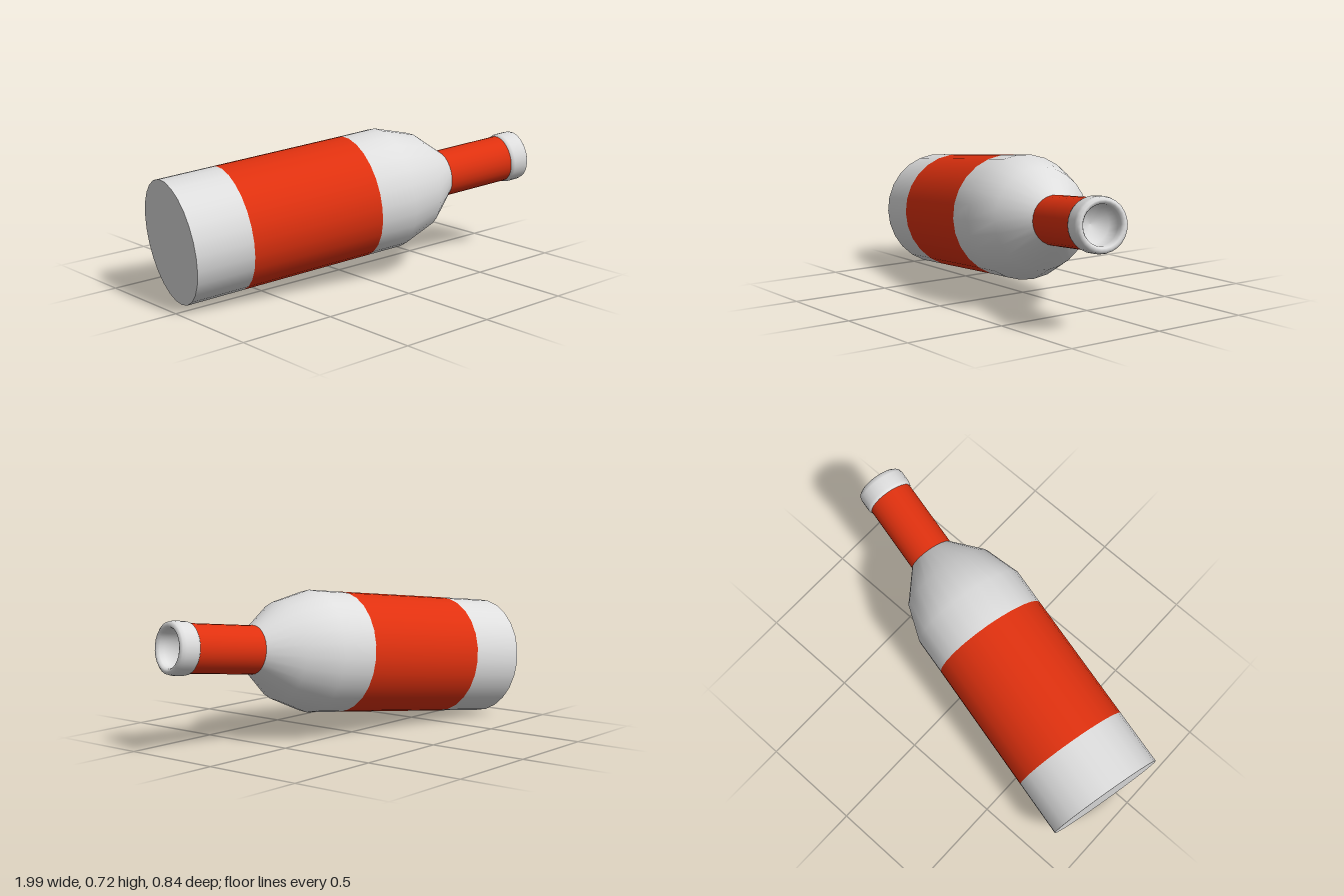
import * as THREE from 'three';

const SEGMENTS = 26;

export function createModel() {
  const white = new THREE.MeshStandardMaterial({ color: 0xdedede });
  white.name = 'white glaze';
  const red = new THREE.MeshStandardMaterial({ color: 0xe0310f });
  red.name = 'red paint';

  // The bottle is turned upright, then laid along its tilted axis
  const bottle = new THREE.Group();
  bottle.name = 'bottle';
  const base = new THREE.Vector3(-0.93, 0.3, -0.126);
  const mouth = new THREE.Vector3(0.966, 0.505, 0.3);
  const axis = mouth.clone().sub(base).normalize();
  bottle.position.copy(base);
  bottle.quaternion.setFromUnitVectors(new THREE.Vector3(0, 1, 0), axis);

  // Each profile is a list of [radius, distance along the axis]
  const turn = (name, material, profile) => {
    const points = profile.map(([r, y]) => new THREE.Vector2(r, y));
    const mesh = new THREE.Mesh(new THREE.LatheGeometry(points, SEGMENTS), material);
    mesh.name = name;
    bottle.add(mesh);
  };

  // Body
  turn('baseDisc', white, [[0, 0], [0.3, 0]]);
  turn('lowerBody', white, [[0.3, 0], [0.3, 0.287]]);
  turn('bodyBand', red, [[0.3, 0.287], [0.3, 0.965]]);
  turn('shoulder', white, [[0.3, 0.965], [0.301, 1.153], [0.241, 1.334], [0.117, 1.483]]);

  // Neck
  turn('neck', red, [[0.117, 1.483], [0.117, 1.848]]);

  // Rounded lip with the hollow mouth
  turn('lip', white, [
    [0.115, 1.845], [0.123, 1.852], [0.126, 1.865], [0.126, 1.925], [0.122, 1.943],
    [0.11, 1.952], [0.099, 1.949], [0.092, 1.938], [0.09, 1.915],
  ]);
  turn('mouthHollow', white, [[0.09, 1.915], [0.086, 1.84], [0, 1.825]]);

  const model = new THREE.Group();
  model.name = 'model';
  model.add(bottle);
  return model;
}
